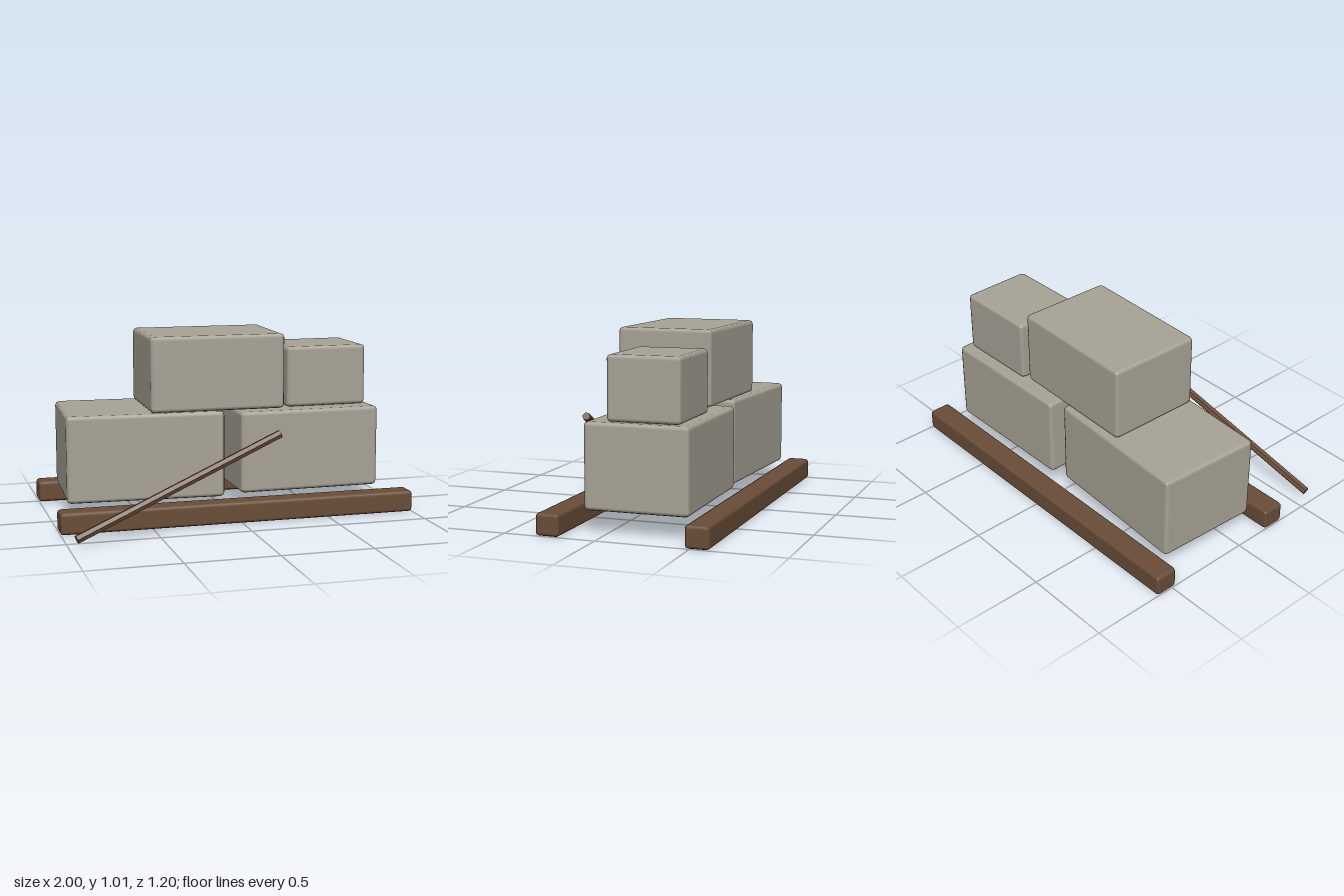
import * as THREE from 'three';
import { RoundedBoxGeometry } from 'three/addons/geometries/RoundedBoxGeometry.js';

export function createModel() {
  const group = new THREE.Group();
  const stone = new THREE.MeshStandardMaterial({ name: 'stone', color: 0xa8a396 });
  const wood = new THREE.MeshStandardMaterial({ name: 'wood', color: 0x6a4d38 });

  // Softly bevelled box; the size is padded because a one-step bevel pulls faces in slightly
  function block(name, material, size, position, turn = 0, bevel = 0.022) {
    const [w, h, d] = size.map((s) => s + 0.19 * bevel);
    const mesh = new THREE.Mesh(new RoundedBoxGeometry(w, h, d, 1, bevel), material);
    mesh.name = name;
    mesh.position.set(...position);
    mesh.rotation.y = turn;
    group.add(mesh);
  }

  // Timber runners
  block('frontRunner', wood, [2, 0.115, 0.126], [0, 0.0575, 0.263], 0, 0.018);
  block('backRunner', wood, [2, 0.115, 0.126], [0, 0.0575, -0.537], 0, 0.018);

  // Stacked stone blocks, each slightly turned
  block('lowerRightStone', stone, [0.87, 0.475, 0.585], [-0.48, 0.357, -0.14], -0.052);
  block('lowerLeftStone', stone, [0.812, 0.455, 0.563], [0.455, 0.347, -0.16], 0.012);
  block('upperRightStone', stone, [0.755, 0.413, 0.53], [-0.08, 0.804, -0.122], -0.02);
  block('upperLeftStone', stone, [0.47, 0.34, 0.395], [0.588, 0.747, -0.189], 0.014);

  // Leaning six-sided lever pole
  const low = new THREE.Vector3(-0.958, 0.041, 0.578);
  const high = new THREE.Vector3(0.19, 0.498, 0.388);
  const axis = high.clone().sub(low);
  const geometry = new THREE.CylinderGeometry(0.023, 0.023, axis.length(), 6);
  const poleWood = wood;
  const pole = new THREE.Mesh(geometry.toNonIndexed(), poleWood);
  pole.geometry.computeVertexNormals();
  pole.name = 'leverPole';
  pole.position.copy(low).add(high).multiplyScalar(0.5);
  pole.quaternion.setFromUnitVectors(new THREE.Vector3(0, 1, 0), axis.normalize());
  group.add(pole);

  return group;
}
